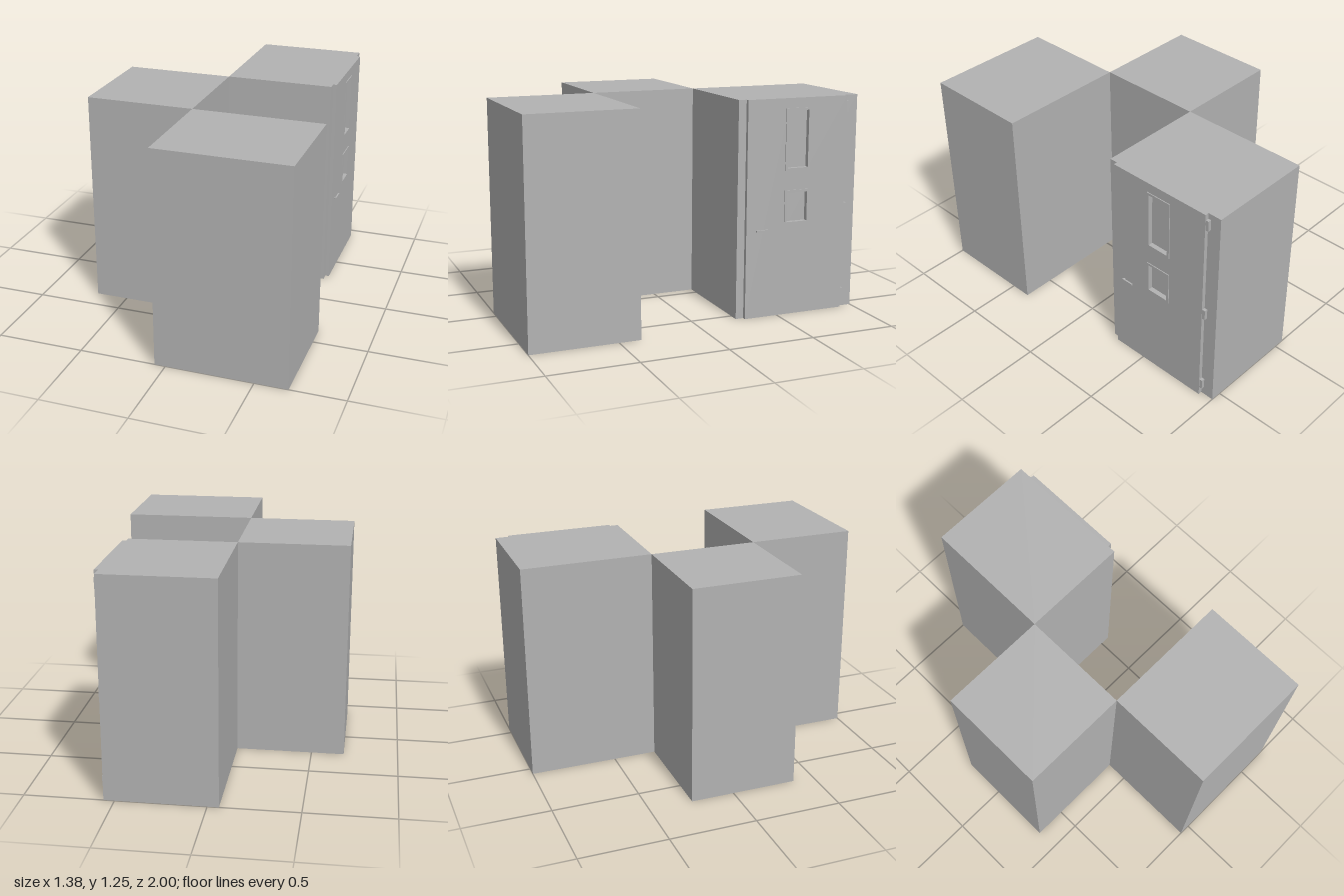
import * as THREE from 'three';

const HEIGHT = 1.25;
const WALL = 0.56; // wall plane that carries the door
const FACE = 0.582; // outer face of the door

export function createModel() {
  const group = new THREE.Group();
  const grey = new THREE.MeshStandardMaterial({ color: 0xb2b2b2 });
  grey.name = 'grey';

  const add = (name, geometry) => {
    const mesh = new THREE.Mesh(geometry, grey);
    mesh.name = name;
    group.add(mesh);
    return mesh;
  };

  // Box given by its lower and upper corners
  const box = (name, [x0, y0, z0], [x1, y1, z1]) =>
    add(name, new THREE.BoxGeometry(x1 - x0, y1 - y0, z1 - z0)
      .translate((x0 + x1) / 2, (y0 + y1) / 2, (z0 + z1) / 2));

  // Rectangle in the door plane: u runs towards the back (-z), v is up
  const rect = (PathType, u0, v0, u1, v1) => new PathType([
    new THREE.Vector2(u0, v0), new THREE.Vector2(u1, v0),
    new THREE.Vector2(u1, v1), new THREE.Vector2(u0, v1),
  ]);

  // Flat plate with openings, extruded outwards from x0 to x1
  const plate = (name, shape, x0, x1) => add(name,
    new THREE.ExtrudeGeometry(shape, { depth: x1 - x0, bevelEnabled: false })
      .rotateY(Math.PI / 2).translate(x0, 0, 0));

  // Three full-height blocks meeting at their corners
  box('backBlock', [-0.063, 0, -1], [WALL, HEIGHT, -0.25]);
  box('sideBlock', [-0.688, 0, -0.25], [-0.063, HEIGHT, 0.375]);
  box('frontBlock', [-0.063, 0, 0.375], [0.688, HEIGHT, 1]);

  // Door leaf with two recessed windows and their raised frames
  const windows = [[0.855, 1.18], [0.545, 0.715]];
  const [u0, u1, rim] = [0.547, 0.675, 0.014];
  const leaf = rect(THREE.Shape, 0.297, 0, 0.92, HEIGHT);
  for (const [v0, v1] of windows) {
    leaf.holes.push(rect(THREE.Path, u0, v0, u1, v1));
    const frame = rect(THREE.Shape, u0 - rim, v0 - rim, u1 + rim, v1 + rim);
    frame.holes.push(rect(THREE.Path, u0, v0, u1, v1));
    plate('windowFrame', frame, FACE, FACE + 0.005);
  }
  plate('door', leaf, WALL, FACE);

  // Hinges along the back edge
  for (const y of [0.083, 0.597, 1.185]) {
    box('hinge', [WALL, y - 0.031, -0.938], [0.579, y + 0.031, -0.92]);
  }

  // Lever handle on a short stem
  const stem = add('handleStem', new THREE.CylinderGeometry(0.005, 0.005, 0.014, 12));
  stem.rotation.z = Math.PI / 2;
  stem.position.set(FACE + 0.006, 0.509, -0.362);
  box('handleLever', [0.588, 0.504, -0.427], [0.597, 0.514, -0.356]);

  return group;
}
